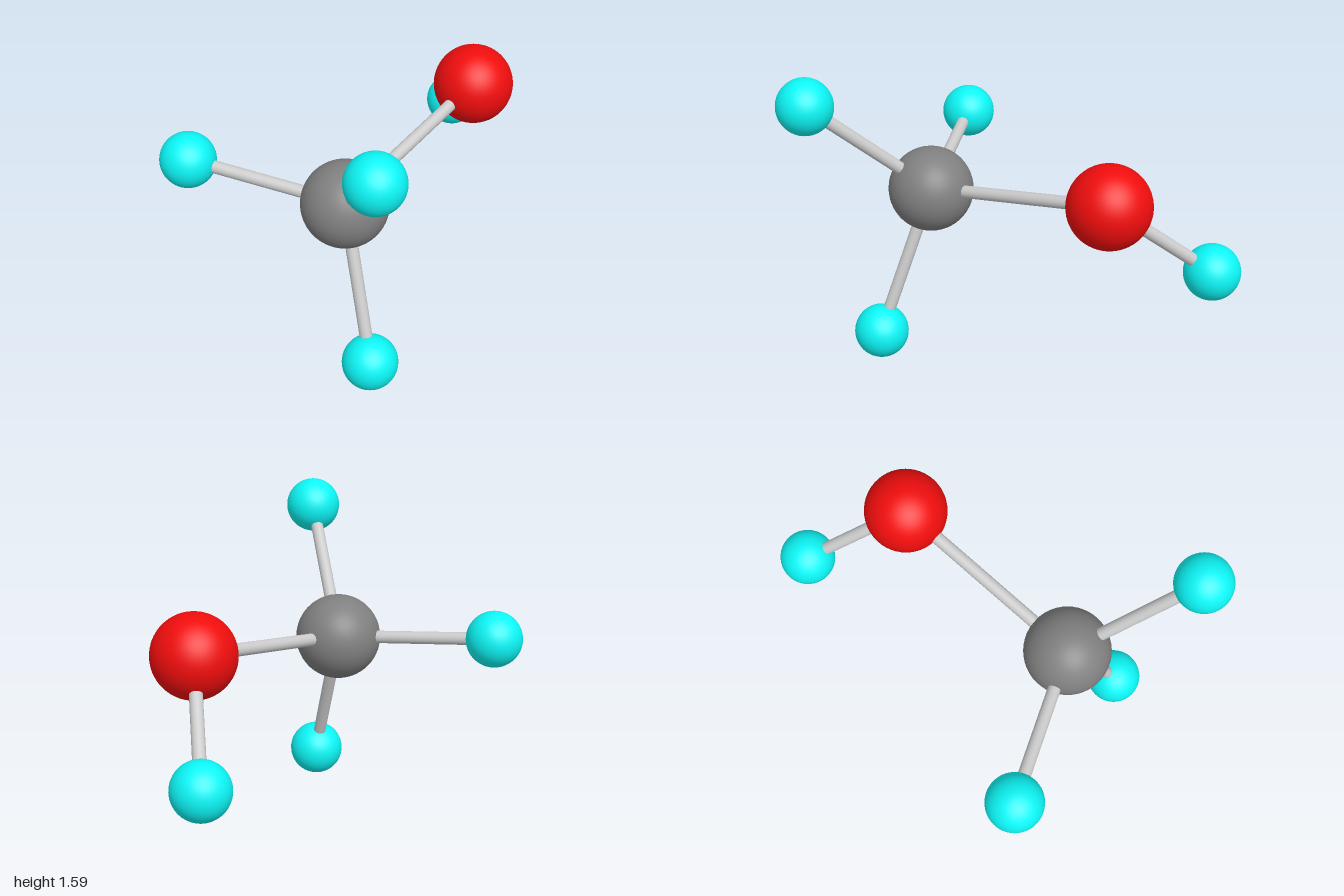
import * as THREE from 'three';

const BOND_RADIUS = 0.032;

// Ball centres, radii and colours
const GREY = 0x808080, RED = 0xf00d0d, CYAN = 0x0df5f5;
const balls = {
  centreBall: { at: [-0.315, 0.908, 0.134], r: 0.217, color: GREY },
  redBall: { at: [0.655, 1.1, -0.228], r: 0.206, color: RED },
  upperFrontBall: { at: [-0.49, 1.445, 0.731], r: 0.141, color: CYAN },
  rightBackBall: { at: [-0.859, 0.997, -0.474], r: 0.141, color: CYAN },
  lowerBall: { at: [-0.356, 0.141, 0.435], r: 0.141, color: CYAN },
  leftBackBall: { at: [0.859, 0.68, -0.731], r: 0.141, color: CYAN },
};

// Pairs of balls joined by a rod
const bonds = [
  ['centreBall', 'redBall'],
  ['centreBall', 'upperFrontBall'],
  ['centreBall', 'rightBackBall'],
  ['centreBall', 'lowerBall'],
  ['redBall', 'leftBackBall'],
];

// Round rod running between two points
function makeRod(from, to, material) {
  const a = new THREE.Vector3(...from);
  const b = new THREE.Vector3(...to);
  const dir = b.clone().sub(a);
  const rod = new THREE.Mesh(
    new THREE.CylinderGeometry(BOND_RADIUS, BOND_RADIUS, dir.length(), 24), material);
  rod.position.copy(a).lerp(b, 0.5);
  rod.quaternion.setFromUnitVectors(new THREE.Vector3(0, 1, 0), dir.normalize());
  return rod;
}

export function createModel() {
  const model = new THREE.Group();
  model.name = 'ballAndStickMolecule';

  // Balls
  for (const [name, { at, r, color }] of Object.entries(balls)) {
    const ball = new THREE.Mesh(
      new THREE.SphereGeometry(r, 48, 32),
      new THREE.MeshStandardMaterial({ color }));
    ball.name = name;
    ball.position.set(...at);
    model.add(ball);
  }

  // Connecting rods
  const rodMaterial = new THREE.MeshStandardMaterial({ color: 0xcccccc });
  for (const [from, to] of bonds) {
    const rod = makeRod(balls[from].at, balls[to].at, rodMaterial);
    rod.name = `rodTo${to[0].toUpperCase()}${to.slice(1)}`;
    model.add(rod);
  }
  return model;
}
